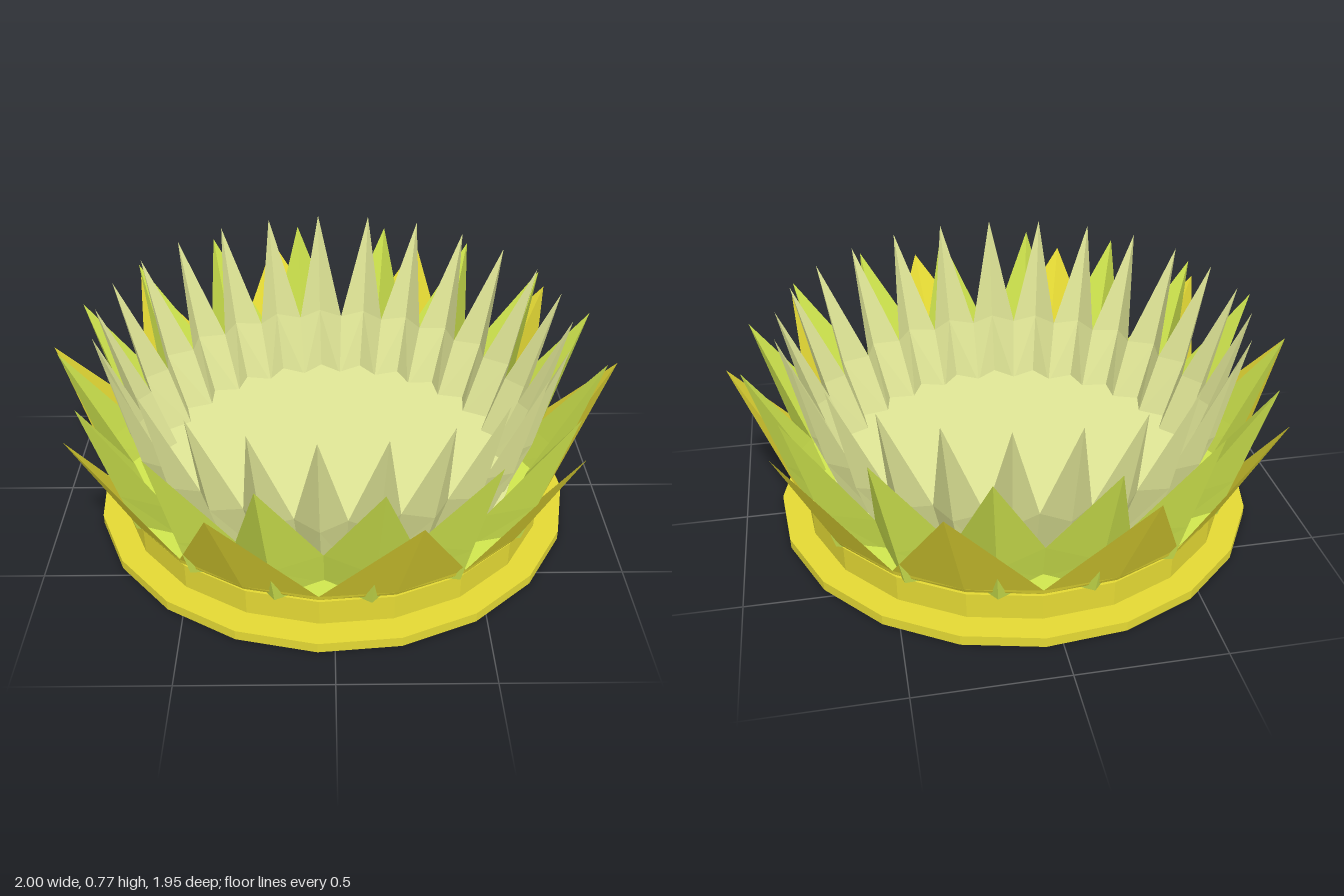
import * as THREE from 'three';

const mat = (name, color) => {
  const m = new THREE.MeshStandardMaterial({ color, flatShading: true, side: THREE.DoubleSide });
  m.name = name;
  return m;
};

// Angles run from +x towards +z; points are [radius, height]
const at = ([r, y], a) => [r * Math.cos(a), y, r * Math.sin(a)];

// Crown of petals, each folded along an outward crease and joined to its neighbours at a valley
function petalRing({ count, offset, valleyBase, valleyLip, creaseBase, creaseMid, tip }) {
  const pos = [];
  const half = Math.PI / count;
  for (let i = 0; i < count; i++) {
    const a = THREE.MathUtils.degToRad(offset) + i * 2 * half;
    const cb = at(creaseBase, a), cm = at(creaseMid, a), t = at(tip, a);
    for (const s of [-1, 1]) {
      const vb = at(valleyBase, a + s * half), vl = at(valleyLip, a + s * half);
      // corner order is swapped on the mirrored half so both face outwards
      for (const [p, q, r] of [[vb, cb, cm], [vb, cm, vl], [vl, cm, t]]) {
        pos.push(...p, ...(s < 0 ? r : q), ...(s < 0 ? q : r));
      }
    }
  }
  const g = new THREE.BufferGeometry();
  g.setAttribute('position', new THREE.Float32BufferAttribute(pos, 3));
  g.computeVertexNormals();
  return g;
}

export function createModel() {
  const group = new THREE.Group();
  const yellow = mat('golden yellow', 0xe4d934);
  const green = mat('lime green', 0xd0e64e);
  const pale = mat('pale green', 0xe1e797);
  const OFFSET = 3.7;

  const add = (name, geometry, material) => {
    const m = new THREE.Mesh(geometry, material);
    m.name = name;
    group.add(m);
  };
  const disc = (name, r, y0, y1, material, sides = 20) => {
    const g = new THREE.CylinderGeometry(r, r, y1 - y0, sides);
    g.rotateY(THREE.MathUtils.degToRad(-OFFSET));
    g.translate(0, (y0 + y1) / 2, 0);
    add(name, g, material);
  };

  // Stepped base
  disc('baseFoot', 0.868, 0, 0.036, yellow);
  disc('baseDrum', 0.778, 0.036, 0.13, yellow);

  // Recessed collar, shelf and floor inside the petals
  disc('petalCollar', 0.768, 0.13, 0.15, yellow);
  disc('petalShelf', 0.782, 0.15, 0.153, green);
  disc('bowlFloor', 0.67, 0.153, 0.156, pale, 50);

  // Three rings of petals, from the outside in
  add('outerPetals', petalRing({
    count: 10, offset: OFFSET,
    valleyBase: [0.79, 0.15], valleyLip: [0.795, 0.168],
    creaseBase: [0.79, 0.15], creaseMid: [0.8, 0.168], tip: [1.004, 0.585],
  }), yellow);
  add('middlePetals', petalRing({
    count: 16, offset: 14,
    valleyBase: [0.695, 0.138], valleyLip: [0.738, 0.29],
    creaseBase: [0.794, 0.134], creaseMid: [0.838, 0.29], tip: [0.946, 0.675],
  }), green);
  add('innerPetals', petalRing({
    count: 25, offset: 180,
    valleyBase: [0.594, 0.138], valleyLip: [0.68, 0.38],
    creaseBase: [0.655, 0.138], creaseMid: [0.738, 0.38], tip: [0.822, 0.773],
  }), pale);

  return group;
}
